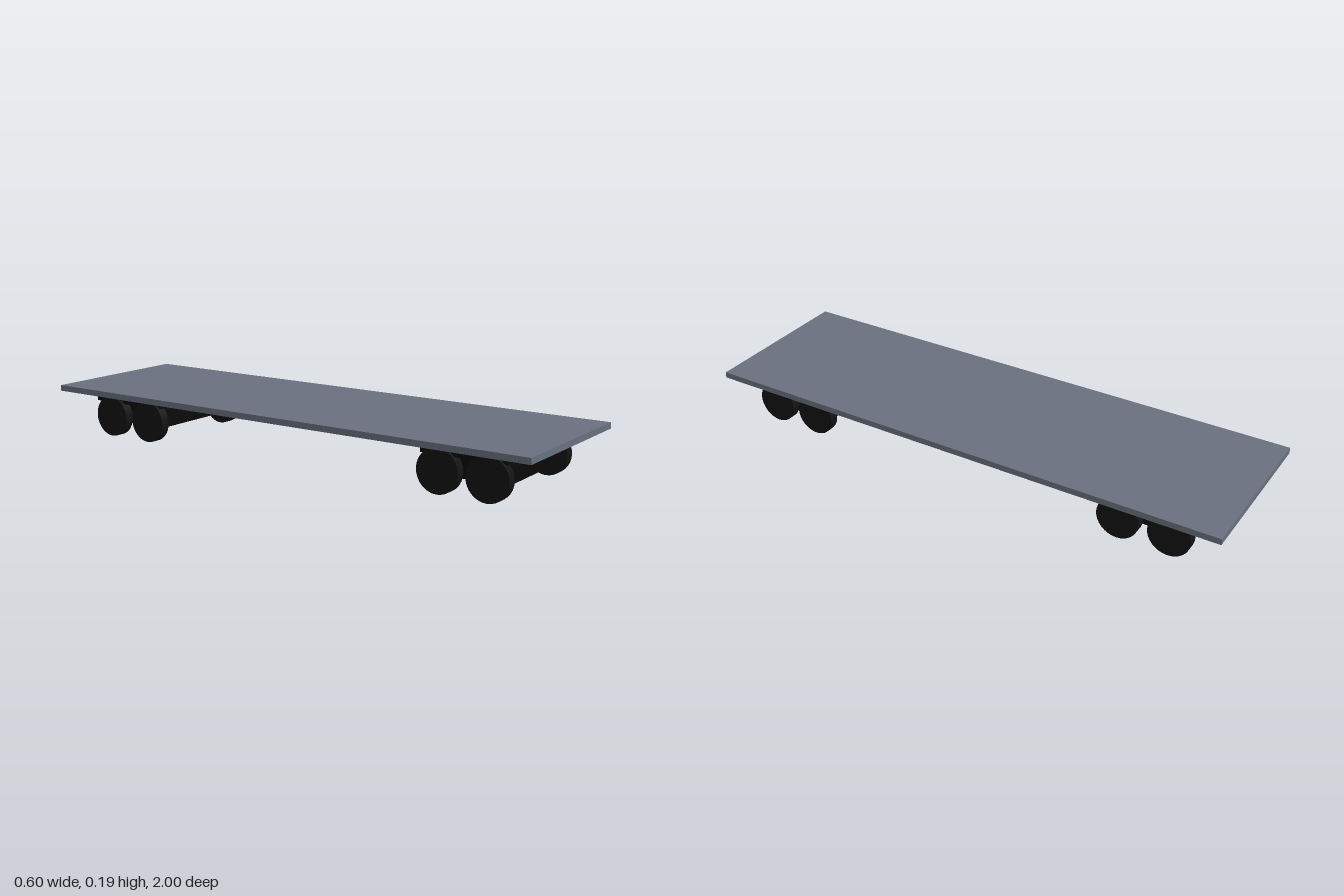
import * as THREE from 'three';

const deckMat = new THREE.MeshStandardMaterial({ color: 0x6b7280 });
const frameMat = new THREE.MeshStandardMaterial({ color: 0x0a0a0a });
const wheelMat = new THREE.MeshStandardMaterial({ color: 0x141414 });

// Box given by its half width and its y and z ranges, centred on x = 0
function slab(name, halfX, y0, y1, z0, z1, mat) {
  const mesh = new THREE.Mesh(new THREE.BoxGeometry(halfX * 2, y1 - y0, z1 - z0), mat);
  mesh.name = name;
  mesh.position.set(0, (y0 + y1) / 2, (z0 + z1) / 2);
  return mesh;
}

// Four-wheel truck: top plate, deep bolster and two pairs of wheels
function truck(name, plate, bolster, axleZ) {
  const g = new THREE.Group();
  g.name = name;
  g.add(slab('truckPlate', 0.219, 0.129, 0.163, plate[0], plate[1], frameMat));
  g.add(slab('truckBolster', 0.184, 0.053, 0.13, bolster[0], bolster[1], frameMat));

  const radius = 0.077;
  const wheelGeo = new THREE.CylinderGeometry(radius, radius, 0.035, 32).rotateZ(Math.PI / 2);
  for (const z of axleZ) {
    for (const side of [-1, 1]) {
      const wheel = new THREE.Mesh(wheelGeo, wheelMat);
      wheel.name = side > 0 ? 'leftWheel' : 'rightWheel';
      wheel.position.set(side * 0.2135, radius, z);
      g.add(wheel);
    }
  }
  return g;
}

export function createModel() {
  const model = new THREE.Group();
  model.name = 'flatWagon';

  // Flat load deck and the central beam under it
  model.add(slab('deck', 0.302, 0.166, 0.188, -1, 1, deckMat));
  model.add(slab('centreBeam', 0.105, 0.131, 0.16, -0.72, 0.72, frameMat));

  // Front and rear trucks
  model.add(truck('frontTruck', [0.57, 0.885], [0.59, 0.87], [0.82, 0.64]));
  model.add(truck('rearTruck', [-0.885, -0.56], [-0.85, -0.57], [-0.80, -0.615]));
  return model;
}
